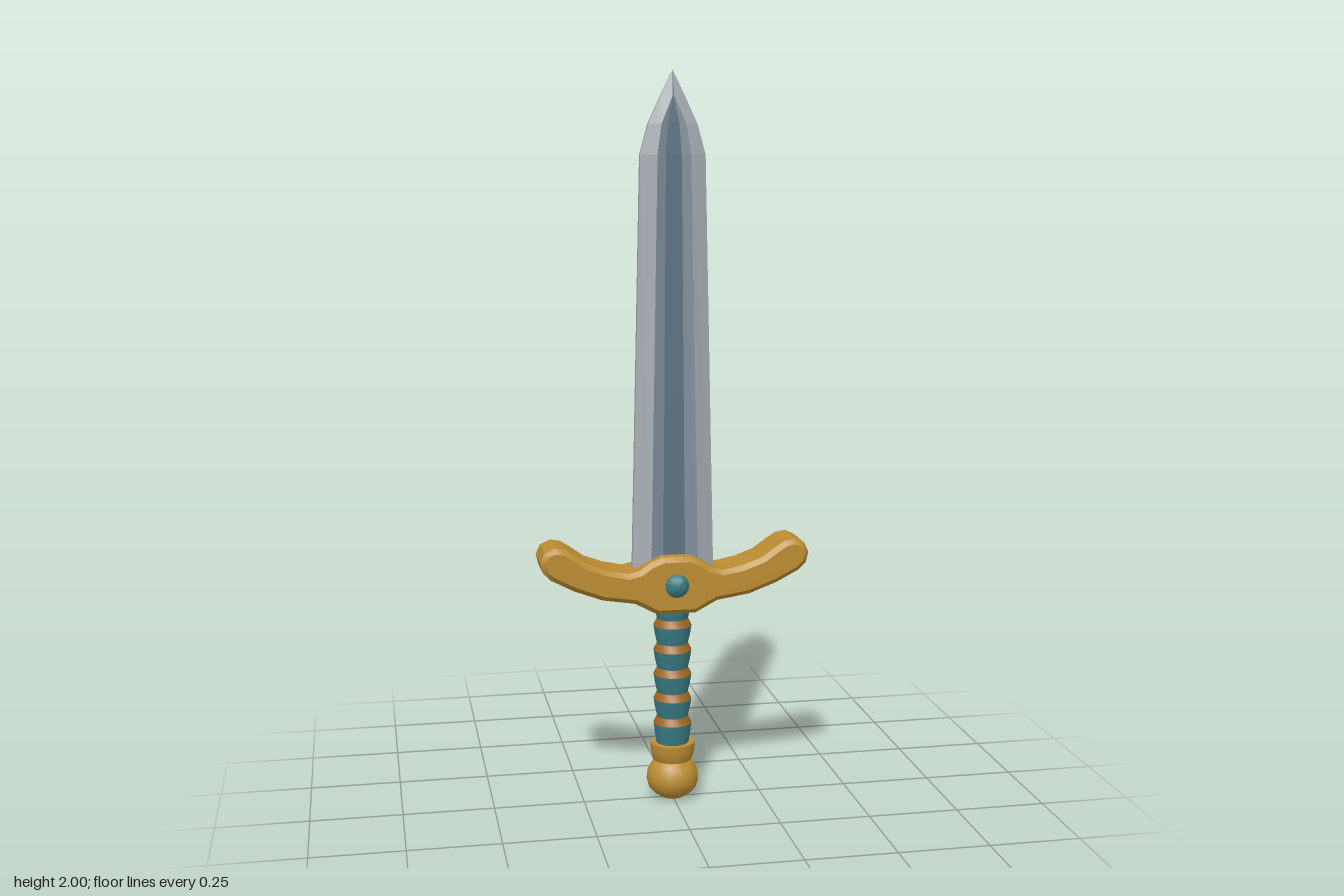
import * as THREE from 'three';
import { toCreasedNormals } from 'three/addons/utils/BufferGeometryUtils.js';

const paint = (name, color) => {
  const m = new THREE.MeshStandardMaterial({ color });
  m.name = name;
  return m;
};

export function createModel() {
  const gold = paint('gold', 0xbb8c32);
  const bronze = paint('bronze', 0xa0661f);
  const teal = paint('teal', 0x3a7c84);
  const steel = paint('steel', 0xa6adb3);
  const greySteel = paint('grey steel', 0x7d8b97);
  const slate = paint('slate steel', 0x5d7080);

  const sword = new THREE.Group();
  sword.name = 'sword';
  const add = (name, geometry, material) => {
    const mesh = new THREE.Mesh(geometry, material);
    mesh.name = name;
    sword.add(mesh);
    return mesh;
  };
  const lathe = (points, segments = 20, crease = 0.5) => toCreasedNormals(
    new THREE.LatheGeometry(points.map(([r, y]) => new THREE.Vector2(r, y)), segments), crease);

  // Blade: lofted rows of y, half width, fuller half width, ridge z, fuller floor z
  const rows = [
    [0.60, 0.114, 0.066, 0.036, 0.027],
    [1.78, 0.088, 0.045, 0.028, 0.021],
    [1.86, 0.066, 0.033, 0.023, 0.018],
    [1.93, 0.034, 0.003, 0.015, 0.014],
    [2.00, 0.0005, 0.0002, 0.0005, 0.0005],
  ];
  const sections = rows.map(([y, w, f, ridge, floor]) => {
    const half = [[w, Math.min(0.009, ridge * 0.4)], [f, ridge], [f * 0.47, floor]];
    const front = [...half, ...half.map(([x, z]) => [-x, z]).reverse()];
    const back = front.map(([x, z]) => [-x, -z]);
    return [...front, ...back].map(([x, z]) => [x, y, z]);
  });
  const bladeStrips = (name, material, strips) => {
    const pos = [];
    for (let r = 0; r < sections.length - 1; r++) {
      for (const s of strips) {
        for (const i of [s, s + 6]) {
          const j = (i + 1) % 12;
          const [lo, hi] = [sections[r], sections[r + 1]];
          pos.push(...lo[i], ...hi[i], ...hi[j], ...lo[i], ...hi[j], ...lo[j]);
        }
      }
    }
    const g = new THREE.BufferGeometry();
    g.setAttribute('position', new THREE.Float32BufferAttribute(pos, 3));
    g.computeVertexNormals();
    add(name, g, material);
  };
  bladeStrips('bladeEdges', steel, [0, 4, 5]);
  bladeStrips('fullerSides', greySteel, [1, 3]);
  bladeStrips('fullerFloor', slate, [2]);

  // Guard: mirrored outline, extruded with a bevel
  const bevel = 0.013;
  const top = [[0.035, 0.69], [0.065, 0.678], [0.095, 0.657], [0.13, 0.648], [0.19, 0.66],
    [0.245, 0.68], [0.285, 0.708], [0.308, 0.723], [0.33, 0.727]];
  const tip = [[0.349, 0.718], [0.357, 0.7], [0.352, 0.68], [0.335, 0.663]];
  const bottom = [[0.275, 0.632], [0.2, 0.604], [0.11, 0.59], [0.085, 0.577], [0.05, 0.558]];
  const side = [...top, ...tip, ...bottom];
  const outline = [...side, ...side.map(([x, y]) => [-x, y]).reverse()].reverse();
  const guardShape = new THREE.Shape(outline.map(([x, y]) => new THREE.Vector2(x, y)));
  const guard = new THREE.ExtrudeGeometry(guardShape, {
    depth: 0.14 - 2 * bevel, bevelEnabled: true, bevelSize: bevel,
    bevelThickness: bevel, bevelSegments: 1,
  });
  guard.translate(0, 0, -0.07 + bevel);
  add('guard', toCreasedNormals(guard, 0.6), gold);

  // Gems on both faces of the guard
  for (const s of [1, -1]) {
    const gem = add(s > 0 ? 'frontGem' : 'backGem',
      lathe([[0.033, 0], [0.033, 0.008], [0.02, 0.021], [0, 0.024]], 14, 0.8), teal);
    gem.position.set(0, 0.625, s * 0.064);
    gem.rotation.x = s * Math.PI / 2;
  }

  // Grip: flaring leather wraps, each capped by a sloping bronze band
  const pitch = 0.07;
  for (let i = 0; i < 6; i++) {
    const ring = 0.218 + i * pitch;
    const start = i === 0 ? 0.15 : ring - pitch + 0.02;
    add('gripWrap', lathe([[0.043, start], [0.049, (start + ring) / 2], [0.053, ring]]), teal);
    if (i < 5) add('gripBand', lathe([[0.053, ring], [0.043, ring + 0.02]]), bronze);
  }

  // Collar and pommel
  add('collar', lathe([[0, 0.112], [0.053, 0.112], [0.058, 0.125], [0.062, 0.14],
    [0.062, 0.162], [0.04, 0.162]]), gold);
  add('pommel', lathe([[0, 0], [0.035, 0.005], [0.052, 0.017], [0.066, 0.032], [0.073, 0.055],
    [0.07, 0.078], [0.06, 0.098], [0.046, 0.112], [0.046, 0.12]], 20, 0.6), gold);

  return sword;
}
